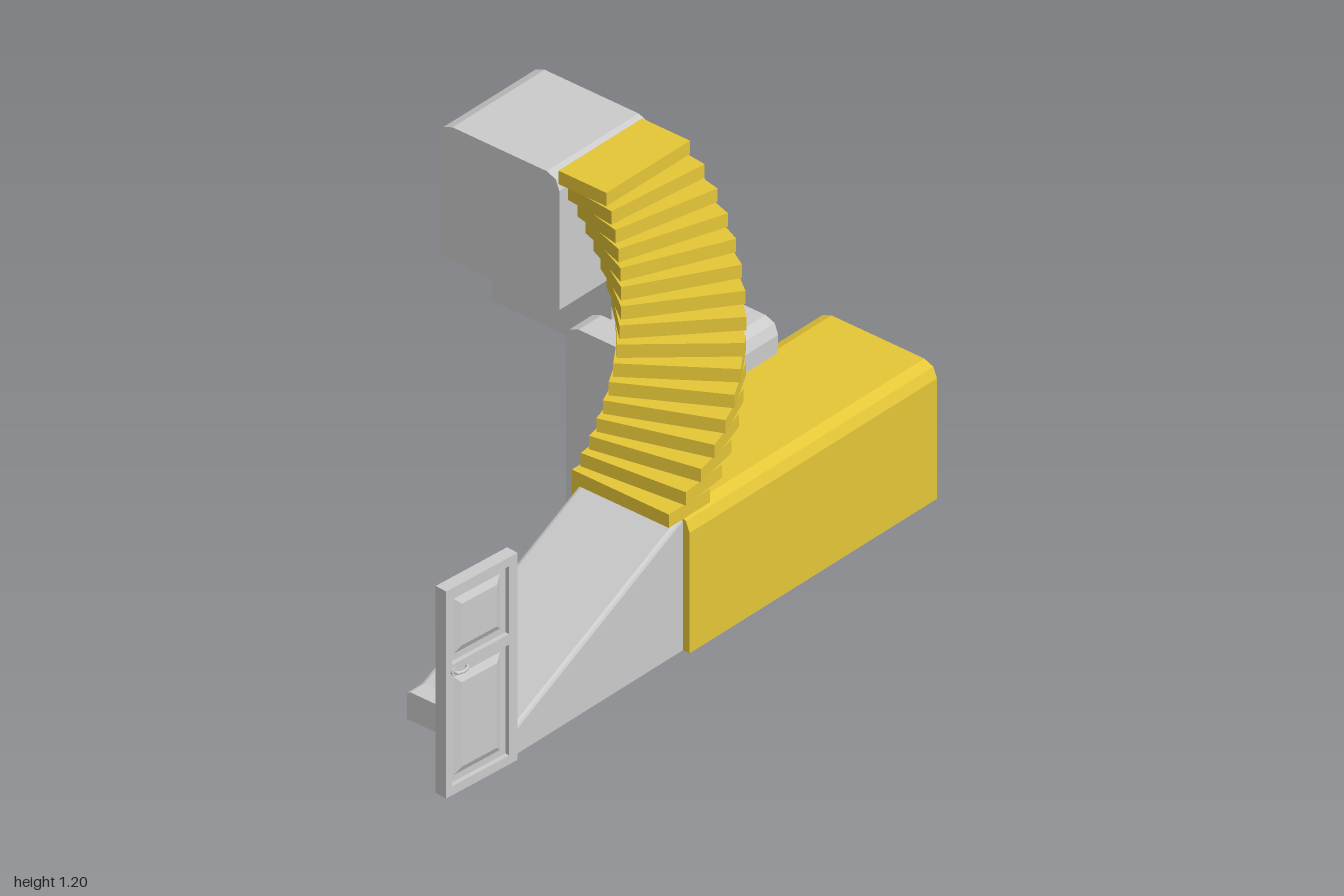
import * as THREE from 'three';

const grey = new THREE.MeshStandardMaterial({ color: 0xcccccc, flatShading: true });
const yellow = new THREE.MeshStandardMaterial({ color: 0xe6c737, flatShading: true });

function mesh(name, geometry, material, parent) {
  const m = new THREE.Mesh(geometry, material);
  m.name = name;
  parent.add(m);
  return m;
}

const shapeOf = (pts) => new THREE.Shape(pts.map(([x, y]) => new THREE.Vector2(x, y)));
const rect = (x0, y0, x1, y1) => [[x0, y0], [x1, y0], [x1, y1], [x0, y1]];
const extrude = (shape, depth) => new THREE.ExtrudeGeometry(shape, { depth, bevelEnabled: false });

// Block outline with softened top corners; inset cuts back the left wall
function blockProfile(x0, x1, y0, y1, c = 0.045, inset = 0) {
  const k = c * 0.28;
  const pts = [
    [x0 + inset, y0], [x1, y0], [x1, y1 - c], [x1 - k, y1 - k], [x1 - c, y1],
    [x0 + c, y1], [x0 + k, y1 - k], [x0, y1 - c],
  ];
  if (inset) pts.push([x0 + inset, y1 - c]);
  return pts;
}

// Room block whose left-hand outer wall has a small rounded window slot
function addRoom(parent, name, x0, x1, y0, y1, z0, z1) {
  const room = new THREE.Group();
  room.name = name;
  parent.add(room);
  const t = 0.025, c = 0.045, h = y1 - y0, w = z1 - z0;
  mesh('roomBody', extrude(shapeOf(blockProfile(x0, x1, y0, y1, c, t)), w), grey, room).position.z = z0;

  const wall = shapeOf(rect(0, 0, w, h - c));
  const a = w / 2 - 0.042, b = w / 2 + 0.042, lo = h * 0.285, hi = h * 0.61, r = 0.014;
  wall.holes.push(new THREE.Path([
    [a + r, lo], [a, lo + r], [a, hi - r], [a + r, hi],
    [b - r, hi], [b, hi - r], [b, lo + r], [b - r, lo],
  ].map(([x, y]) => new THREE.Vector2(x, y))));
  const g = extrude(wall, t);
  g.rotateY(-Math.PI / 2);
  mesh('windowWall', g, grey, room).position.set(x0 + t, y0, z0);
}

// Closed solid through cross-sections of equal point count, running along +z
function loft(sections) {
  const n = sections[0].pts.length, pos = [], idx = [];
  for (const s of sections) for (const [x, y] of s.pts) pos.push(x, y, s.z);
  for (let s = 0; s < sections.length - 1; s++) {
    for (let i = 0; i < n; i++) {
      const a = s * n + i, b = s * n + (i + 1) % n;
      idx.push(a, b, b + n, a, b + n, a + n);
    }
  }
  const last = (sections.length - 1) * n;
  for (let i = 1; i < n - 1; i++) {
    idx.push(0, i + 1, i);
    idx.push(last, last + i, last + i + 1);
  }
  const g = new THREE.BufferGeometry();
  g.setAttribute('position', new THREE.Float32BufferAttribute(pos, 3));
  g.setIndex(idx);
  g.computeVertexNormals();
  return g;
}

function addStairs(parent) {
  const stairs = new THREE.Group();
  stairs.name = 'curvedStairs';
  parent.add(stairs);
  const count = 16, rise = 0.0428, radius = 0.435;
  const tread = new THREE.BoxGeometry(0.17, rise, 0.345);
  for (let i = 0; i < count; i++) {
    const a = (i / (count - 1)) * Math.PI / 2;
    const step = mesh('step', tread, yellow, stairs);
    step.position.set(-0.065 + radius * Math.sin(a), 1.2 - rise * (i + 0.5), -radius * Math.cos(a));
    step.rotation.y = -a;
  }
}

function addDoor(parent) {
  const door = new THREE.Group();
  door.name = 'door';
  door.position.set(0.54, 0, 0.727);
  door.rotation.y = -(Math.PI / 2 + 0.07);
  parent.add(door);

  // Frame with an upper and a lower opening
  const W = 0.273, T = 0.04;
  const frame = shapeOf(rect(0, 0.093, W, 0.755));
  const openings = [[0.033, 0.51, W - 0.022, 0.727], [0.033, 0.122, W - 0.022, 0.476]];
  for (const o of openings) {
    frame.holes.push(new THREE.Path(rect(...o).map(([x, y]) => new THREE.Vector2(x, y))));
  }
  mesh('doorFrame', extrude(frame, T), grey, door).position.z = -T / 2;

  // Recessed panels with raised, bevelled fields on both faces
  for (const [x0, y0, x1, y1] of openings) {
    const back = mesh('doorPanel', new THREE.BoxGeometry(x1 - x0, y1 - y0, 0.012), grey, door);
    back.position.set((x0 + x1) / 2, (y0 + y1) / 2, 0);
    const m = 0.042;
    const field = new THREE.ExtrudeGeometry(shapeOf(rect(x0 + m, y0 + m, x1 - m, y1 - m)), {
      depth: 0.006, bevelThickness: 0.013, bevelSize: 0.028, bevelSegments: 1,
    });
    mesh('raisedField', field, grey, door).position.z = -0.003;
  }

  // Curved handle and round plate on each face
  const smooth = new THREE.MeshStandardMaterial({ color: 0xcccccc });
  for (const s of [1, -1]) {
    const path = new THREE.CatmullRomCurve3([
      [0.245, 0.018], [0.243, 0.032], [0.225, 0.038], [0.205, 0.034], [0.198, 0.024],
    ].map(([x, z]) => new THREE.Vector3(x, 0.487, z * s)));
    mesh('handle', new THREE.TubeGeometry(path, 16, 0.005, 8), smooth, door);
    const plate = mesh('handlePlate', new THREE.CylinderGeometry(0.011, 0.011, 0.006, 16), smooth, door);
    plate.rotation.x = Math.PI / 2;
    plate.position.set(0.245, 0.487, s * 0.022);
  }
}

export function createModel() {
  const model = new THREE.Group();
  model.name = 'stairwayRooms';

  // Long hall
  mesh('hall', extrude(shapeOf(blockProfile(0.14, 0.56, 0.09, 0.52)), 1.02), yellow, model).position.z = -1;

  // Stacked rooms
  addRoom(model, 'lowerRoom', -0.225, 0.198, 0, 0.622, -0.765, -0.38);
  addRoom(model, 'middleRoom', -0.57, -0.145, 0.505, 0.93, -0.86, -0.475);
  addRoom(model, 'upperRoom', -0.57, -0.145, 0.757, 1.183, -0.64, -0.26);

  // Sloping entrance that ends in a low flat landing
  const section = (z, top) => ({ z, pts: blockProfile(0.198, 0.536, 0.09, top, 0.012) });
  mesh('ramp', loft([section(0.01, 0.52), section(0.705, 0.18), section(0.765, 0.18)]), grey, model);

  addStairs(model);
  addDoor(model);
  return model;
}
